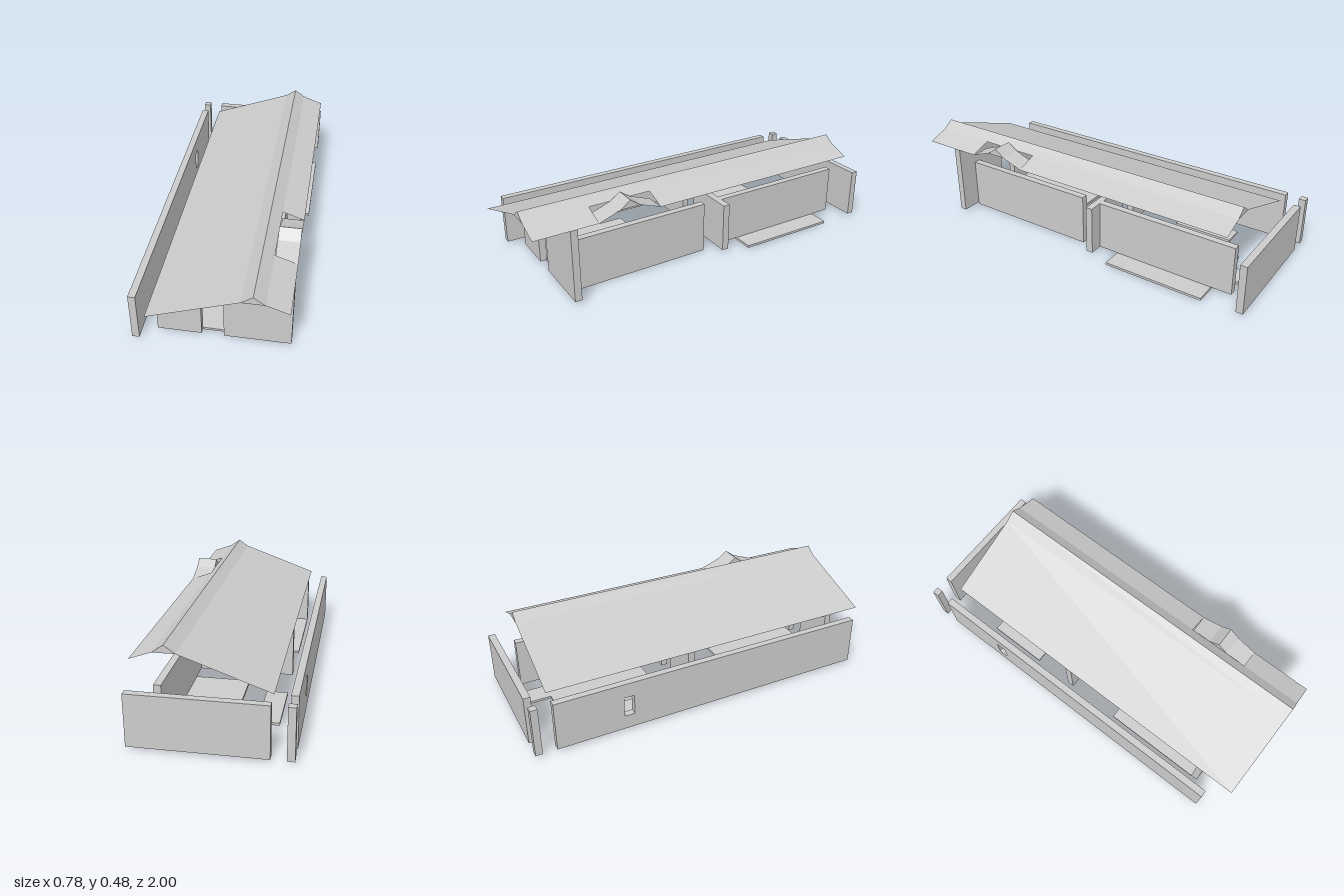
import * as THREE from 'three';

const U = 1 / 9;        // plan module
const T = U / 3;        // wall thickness
const RISE = 0.04;      // roof rise per module
const BASE = 0.013;     // floor thickness
const TOP = 0.28;       // wall height

const mat = new THREE.MeshStandardMaterial({ color: 0xcccccc, flatShading: true });
const thin = new THREE.MeshStandardMaterial({ color: 0xcccccc, flatShading: true, side: THREE.DoubleSide });

function group(parent, name) {
  const g = new THREE.Group();
  g.name = name;
  parent.add(g);
  return g;
}

// Box between two corners
function box(parent, name, x0, x1, y0, y1, z0, z1) {
  const m = new THREE.Mesh(new THREE.BoxGeometry(x1 - x0, y1 - y0, z1 - z0), mat);
  m.position.set((x0 + x1) / 2, (y0 + y1) / 2, (z0 + z1) / 2);
  m.name = name;
  parent.add(m);
}

// Thin polygon (fan of triangles) through the given corners
function sheet(parent, name, ...corners) {
  const p = [];
  for (let i = 1; i < corners.length - 1; i++) p.push(...corners[0], ...corners[i], ...corners[i + 1]);
  const g = new THREE.BufferGeometry();
  g.setAttribute('position', new THREE.Float32BufferAttribute(p, 3));
  g.computeVertexNormals();
  const m = new THREE.Mesh(g, thin);
  m.name = name;
  parent.add(m);
}

// Roof strip between two profile points, running along z
function strip(parent, name, [xa, ya], [xb, yb], z0, z1) {
  sheet(parent, name, [xa, ya, z1], [xb, yb, z1], [xb, yb, z0], [xa, ya, z0]);
}

export function createModel() {
  const model = new THREE.Group();
  model.name = 'house';

  // Floors, as module rectangles [x0, x1, z0, z1]
  const floors = group(model, 'floors');
  for (const [a, b, c, d] of [
    [-2.5, 2.5, 2, 7], [1.5, 2.5, 0, 2],
    [-0.5, 3.5, -7, -2], [0.5, 1.5, -8, -7],
    [-2.5, -1.5, -6, -3],
  ]) box(floors, 'floorSlab', a * U, b * U, 0, BASE, c * U, d * U);

  // Low walls
  const walls = group(model, 'walls');
  box(walls, 'frontSideWall', 2.5 * U - T, 2.5 * U, BASE, TOP, 0, 7 * U);
  box(walls, 'rearSideWall', 2.5 * U - T, 2.5 * U, BASE, TOP, -8 * U, -U);
  box(walls, 'crossWallLeft', 0.5 * U, 3.5 * U - T, BASE, TOP, -U, -U + T);
  box(walls, 'crossWallRight', -2.5 * U, -0.5 * U, BASE, TOP, -U, -U + T);
  box(walls, 'backWall', -2.5 * U, 3.5 * U, BASE, TOP, -1, -1 + T);
  box(walls, 'cornerPost', -3.5 * U, -3.5 * U + T, BASE, TOP, -1, -1 + T);

  // Long side wall with a slot window
  const shape = new THREE.Shape();
  shape.moveTo(-8 * U, BASE).lineTo(8 * U, BASE).lineTo(8 * U, TOP).lineTo(-8 * U, TOP).closePath();
  const slot = new THREE.Path();
  slot.moveTo(-4.75 * U, 0.09).lineTo(-4.75 * U, 0.2).lineTo(-4.25 * U, 0.2).lineTo(-4.25 * U, 0.09).closePath();
  shape.holes.push(slot);
  const longWall = new THREE.Mesh(new THREE.ExtrudeGeometry(shape, { depth: T, bevelEnabled: false }), mat);
  longWall.rotation.y = -Math.PI / 2;
  longWall.position.x = -3.5 * U + T;
  longWall.name = 'longWall';
  walls.add(longWall);

  // Stepped front gable with a doorway in the third bay
  const gable = new THREE.Shape();
  gable.moveTo(-2.5 * U, BASE);
  [0, 1, 2, 3, 4, 3].forEach((step, i) => {
    const y = TOP + step * RISE;
    gable.lineTo((i - 2.5) * U, y).lineTo((i - 1.5) * U, y);
  });
  gable.lineTo(3.5 * U, BASE).lineTo(0.5 * U, BASE).lineTo(0.5 * U, TOP);
  gable.lineTo(-0.5 * U, TOP).lineTo(-0.5 * U, BASE).closePath();
  const front = new THREE.Mesh(new THREE.ExtrudeGeometry(gable, { depth: T, bevelEnabled: false }), mat);
  front.position.z = 7 * U;
  front.name = 'frontGable';
  walls.add(front);

  // Main roof
  const roof = group(model, 'roof');
  const shoulder = TOP + 4 * RISE, peak = TOP + 5 * RISE, eave = TOP + 3 * RISE;
  const z0 = -8 * U, z1 = 1;
  strip(roof, 'longSlope', [-2.5 * U, TOP], [1.5 * U, shoulder], z0, z1);
  strip(roof, 'ridgeRight', [1.5 * U, shoulder], [2 * U, peak], z0, z1);
  strip(roof, 'ridgeLeft', [2 * U, peak], [2.5 * U, shoulder], z0, z1);
  for (const [a, b] of [[z0, 3 * U], [6 * U, z1]])
    strip(roof, 'eave', [2.5 * U, shoulder], [3.5 * U, eave], a, b);

  // Triangular ribs under the ridge
  for (let i = -8; i <= 9; i++)
    sheet(roof, 'ridgeRib', [1.5 * U, shoulder, i * U], [2.5 * U, shoulder, i * U], [2 * U, peak, i * U]);

  // Dormer set into the eave
  const dormer = group(model, 'dormer');
  const profile = [[3, eave], [4, shoulder], [4.5, peak], [5, shoulder], [6, eave]];
  const xa = 2.5 * U, xb = 3.5 * U;
  for (let i = 0; i < 4; i++) {
    const [za, ya] = profile[i], [zb, yb] = profile[i + 1];
    sheet(dormer, 'dormerSlope', [xa, ya, za * U], [xa, yb, zb * U], [xb, yb, zb * U], [xb, ya, za * U]);
  }
  for (const x of [xa, xb])
    sheet(dormer, 'dormerRib', [x, shoulder, 5 * U], [x, shoulder, 4 * U], [x, peak, 4.5 * U]);

  return model;
}
